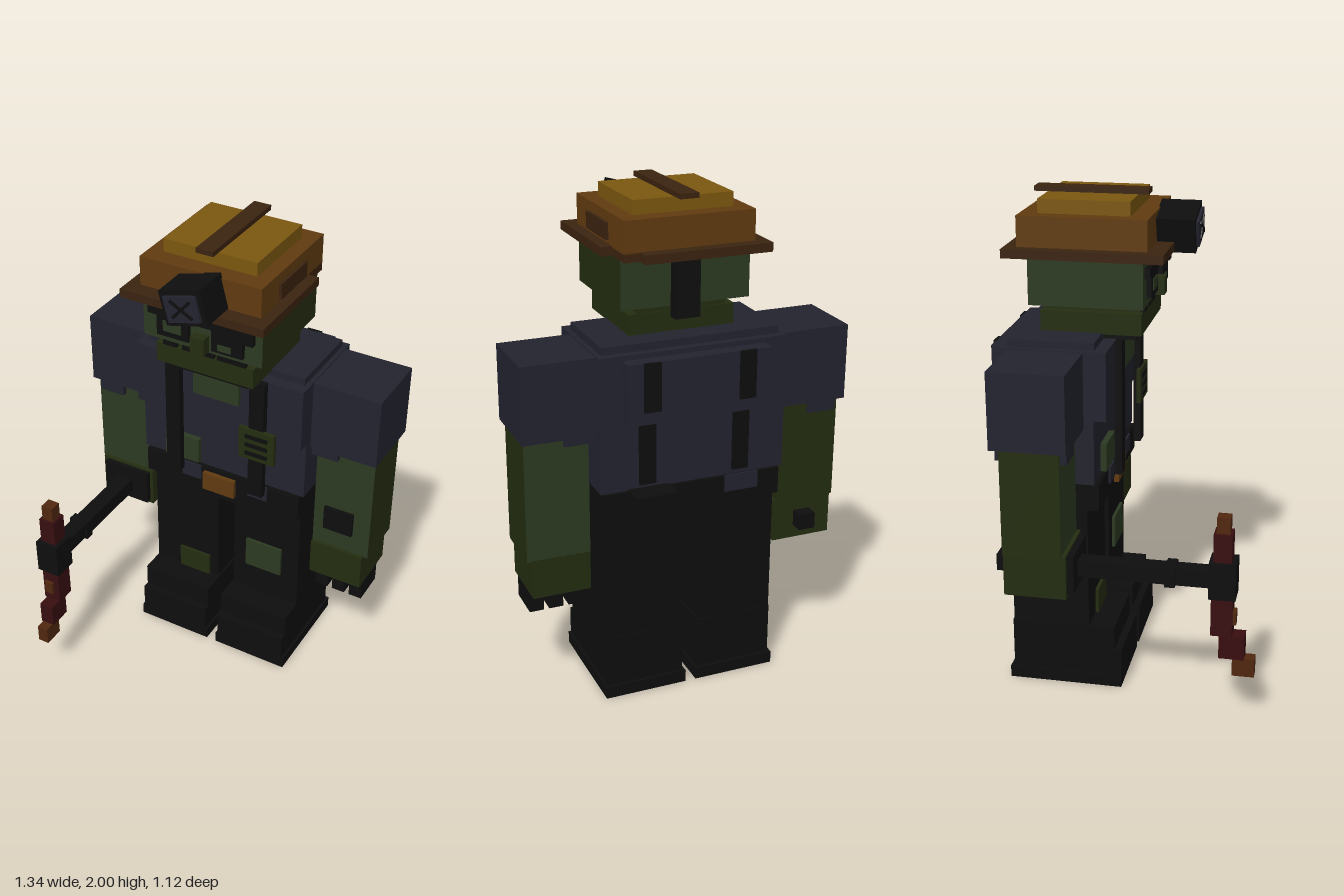
import * as THREE from 'three';

const mat = (name, color) => {
  const m = new THREE.MeshStandardMaterial({ color });
  m.name = name;
  return m;
};

export function createModel() {
  const root = new THREE.Group();
  root.name = 'minerFigure';
  const black = mat('black', 0x0e0e0e), navy = mat('shirtNavy', 0x23232f);
  const green = mat('skinGreen', 0x2c3a22), olive = mat('skinOlive', 0x242d11);
  const orange = mat('helmetOrange', 0x613b10), yellow = mat('helmetYellow', 0x7b570f);
  const brown = mat('helmetBrown', 0x3b2310);
  const red = mat('pickRed', 0x380e10), rust = mat('pickRust', 0x50270f);

  let parent = root;
  const group = (name) => {
    parent = new THREE.Group();
    parent.name = name;
    root.add(parent);
    return parent;
  };
  // Box from min/max extents on each axis
  const box = (name, m, x0, x1, y0, y1, z0, z1) => {
    const mesh = new THREE.Mesh(new THREE.BoxGeometry(x1 - x0, y1 - y0, z1 - z0), m);
    mesh.position.set((x0 + x1) / 2, (y0 + y1) / 2, (z0 + z1) / 2);
    mesh.name = name;
    parent.add(mesh);
    return mesh;
  };
  // Face order: +x, -x, top, bottom, front, back
  const leftSkin = [olive, olive, green, olive, green, green];
  const rightSkin = [olive, olive, green, olive, green, olive];

  // Helmet, with a broken brim corner at the back left
  group('helmet');
  box('brimBack', brown, -0.31, 0.2, 1.77, 1.805, -0.47, -0.42);
  box('brimMain', brown, -0.31, 0.26, 1.77, 1.805, -0.42, 0.155);
  box('brimLeft', brown, 0.26, 0.305, 1.77, 1.805, -0.3, 0.155);
  box('shell', orange, -0.26, 0.26, 1.8, 1.925, -0.42, 0.087);
  box('crown', yellow, -0.2, 0.2, 1.925, 1.98, -0.35, 0.01);
  box('crest', brown, -0.037, 0.037, 1.98, 2, -0.405, 0.05);
  box('sideDent', brown, 0.26, 0.272, 1.82, 1.885, -0.26, -0.05);

  // Tilted headlamp with a cracked lens
  const lamp = group('headlamp');
  box('lampBody', black, -0.09, 0.09, -0.07, 0.07, 0.08, 0.238);
  box('lampLens', navy, -0.07, 0.07, -0.052, 0.052, 0.238, 0.25);
  for (const a of [0.6, -0.75]) {
    box('lensCrack', black, -0.055, 0.055, -0.006, 0.006, 0.25, 0.255).rotation.z = a;
  }
  lamp.position.set(0.018, 1.853, 0);
  lamp.rotation.z = 0.26;

  // Head, face and jaw
  group('head');
  box('skull', [olive, green, green, olive, green, green], -0.26, 0.26, 1.58, 1.77, -0.38, 0.07);
  box('mouthGap', olive, -0.18, 0.18, 1.545, 1.58, -0.34, 0.045);
  box('jaw', olive, -0.215, 0.215, 1.465, 1.55, -0.345, 0.055);
  box('neck', black, -0.18, 0.18, 1.44, 1.465, -0.33, 0.03);
  for (const x of [-0.15, -0.065, 0.015, 0.09, 0.155]) {
    box('toothGap', black, x - 0.03, x + 0.03, 1.552, 1.575, 0.045, 0.062);
  }
  box('gogglesBar', black, -0.23, 0.23, 1.695, 1.735, 0.07, 0.09);
  box('gogglesHinge', black, 0.18, 0.23, 1.675, 1.75, 0.07, 0.095);
  box('rightRim', black, -0.19, -0.05, 1.61, 1.7, 0.07, 0.09);
  box('rightEye', green, -0.16, -0.08, 1.635, 1.68, 0.09, 0.094);
  box('leftRim', black, 0.05, 0.185, 1.605, 1.695, 0.07, 0.09);
  box('leftEye', green, 0.08, 0.137, 1.617, 1.643, 0.09, 0.094);
  box('nose', olive, -0.03, 0.03, 1.585, 1.655, 0.07, 0.112);
  box('hangingStrap', black, -0.03, 0.07, 1.545, 1.775, -0.445, -0.4);

  // Torso
  group('torso');
  box('collar', navy, -0.36, 0.36, 1.4, 1.47, -0.44, -0.1);
  box('chest', navy, -0.38, 0.38, 1.165, 1.44, -0.47, -0.05);
  box('abdomen', navy, -0.38, 0.38, 0.9, 1.165, -0.47, -0.1);
  box('backPanel', navy, -0.29, 0.29, 1.18, 1.42, -0.525, -0.46);
  box('chestPatch', green, -0.105, 0.105, 1.295, 1.44, -0.05, -0.035);
  box('bellyPatch', green, -0.265, -0.105, 0.915, 1.03, -0.1, -0.075);
  for (const s of [-1, 1]) {
    const a = s * 0.193;
    box('frontStrap', black, a - 0.033, a + 0.033, 0.89, 1.44, -0.05, -0.02);
    box('backStrapUpper', black, a - 0.033, a + 0.033, 1.23, 1.42, -0.535, -0.52);
    box('backStrapLower', black, a - 0.033, a + 0.033, 0.92, 1.18, -0.483, -0.465);
  }
  box('strapPatch', olive, 0.12, 0.28, 1.075, 1.22, -0.03, -0.012);
  for (const y of [1.105, 1.145, 1.185]) {
    box('patchStitch', black, 0.15, 0.25, y - 0.009, y + 0.009, -0.012, -0.008);
  }

  // Belt, buckle, torn shirt hem and pouch
  group('belt');
  box('beltBand', black, -0.365, 0.365, 0.785, 0.895, -0.475, -0.085);
  box('buckle', orange, -0.08, 0.07, 0.795, 0.88, -0.085, -0.065);
  box('hemRight', navy, -0.185, -0.095, 0.83, 0.9, -0.085, -0.077);
  box('hemLeft', navy, 0.13, 0.22, 0.83, 0.9, -0.085, -0.077);
  box('hemBack', navy, -0.27, -0.13, 0.83, 0.9, -0.482, -0.475);
  box('pouch', black, 0.105, 0.27, 0.73, 0.905, -0.563, -0.47);

  // Legs and boots
  group('legs');
  box('pelvis', black, -0.355, 0.355, 0.71, 0.79, -0.45, -0.135);
  for (const s of [-1, 1]) {
    const b = (n, x0, x1, ...r) => box(n, black, Math.min(s * x0, s * x1), Math.max(s * x0, s * x1), ...r);
    b('leg', 0.04, 0.355, 0.26, 0.72, -0.45, -0.135);
    b('boot', 0.033, 0.355, 0, 0.265, -0.455, -0.03);
    b('bootToe', 0.033, 0.355, 0, 0.165, -0.1, 0);
    b('bootSole', 0.022, 0.365, 0, 0.05, -0.47, 0);
  }
  box('kneePatch', green, 0.105, 0.275, 0.41, 0.55, -0.135, -0.122);
  box('shinPatch', olive, -0.23, -0.08, 0.265, 0.37, -0.135, -0.122);

  // Left arm
  group('leftArm');
  box('leftSleeve', navy, 0.38, 0.668, 1.13, 1.435, -0.435, -0.14);
  box('leftSleeveTear', navy, 0.385, 0.5, 1.095, 1.14, -0.42, -0.145);
  box('leftForearm', leftSkin, 0.4, 0.655, 0.635, 1.145, -0.4, -0.17);
  box('leftHand', olive, 0.4, 0.635, 0.475, 0.638, -0.4, -0.155);
  box('leftArmPatch', black, 0.45, 0.58, 0.73, 0.84, -0.17, -0.155);
  for (const x of [0.445, 0.525, 0.605]) {
    box('finger', black, x - 0.029, x + 0.029, 0.385, 0.475, -0.34, -0.19);
  }

  // Right arm gripping the pick
  group('rightArm');
  box('rightSleeve', navy, -0.668, -0.38, 1.13, 1.435, -0.435, -0.14);
  box('rightSleeveTear', navy, -0.635, -0.52, 1.08, 1.14, -0.42, -0.145);
  box('rightForearm', rightSkin, -0.655, -0.4, 0.7, 1.14, -0.4, -0.17);
  box('rightHand', olive, -0.645, -0.39, 0.53, 0.71, -0.4, -0.155);
  box('grip', black, -0.625, -0.405, 0.545, 0.7, -0.2, -0.13);

  // Pick
  group('pick');
  box('handle', black, -0.552, -0.482, 0.585, 0.652, -0.455, 0.4);
  box('handleRing', black, -0.56, -0.474, 0.577, 0.66, 0.21, 0.25);
  box('headBlock', black, -0.567, -0.465, 0.545, 0.695, 0.38, 0.485);
  box('upperBlade', red, -0.552, -0.481, 0.69, 0.81, 0.395, 0.467);
  box('upperTip', rust, -0.542, -0.491, 0.81, 0.875, 0.405, 0.457);
  box('lowerBlade', red, -0.555, -0.478, 0.385, 0.55, 0.39, 0.473);
  box('lowerBladeEnd', red, -0.547, -0.486, 0.285, 0.385, 0.422, 0.522);
  box('lowerTip', rust, -0.54, -0.492, 0.21, 0.287, 0.475, 0.562);
  box('rustSpot', rust, -0.54, -0.502, 0.43, 0.487, 0.473, 0.487);
  return root;
}
